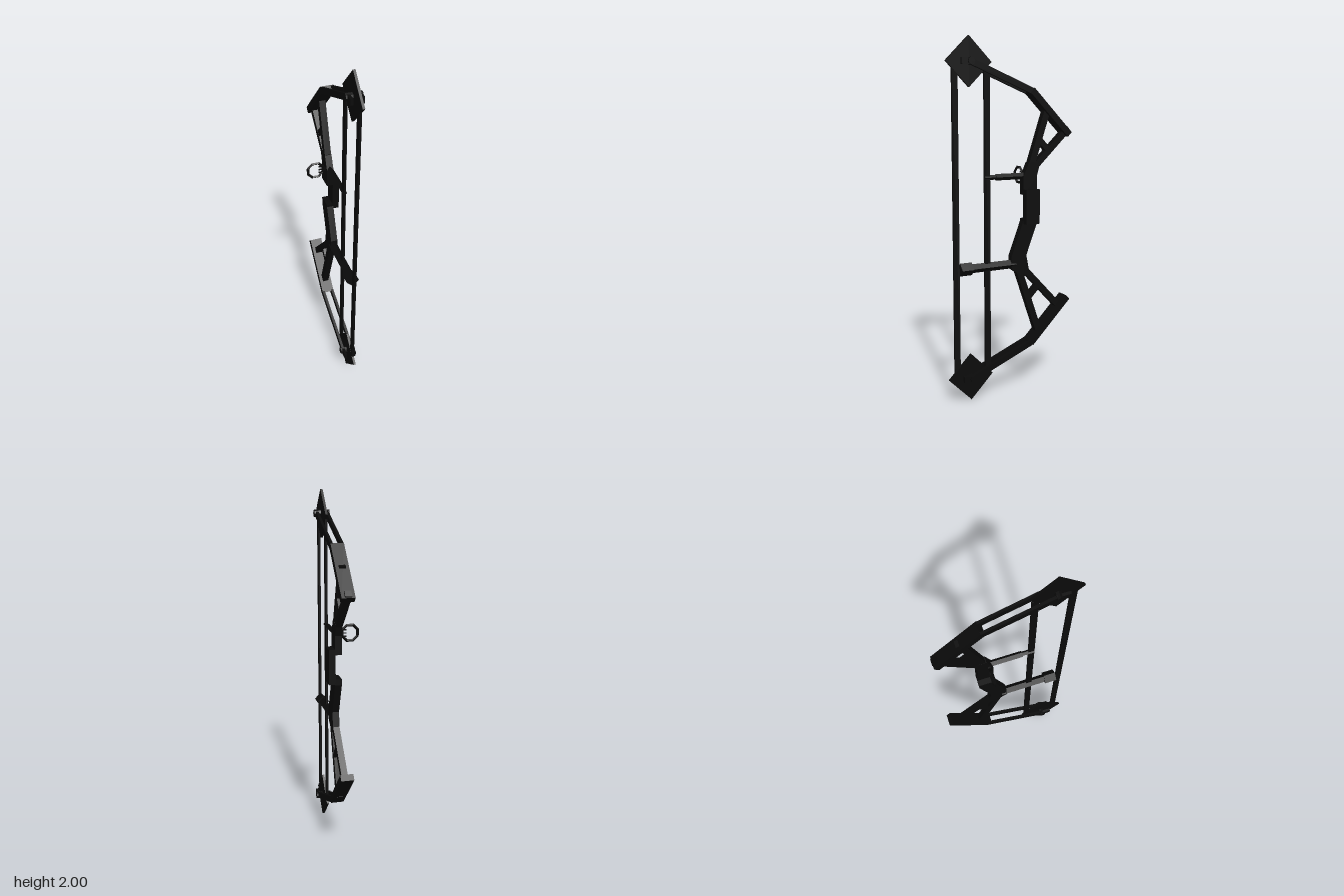
import * as THREE from 'three';

const CX = 0.041; // centre plane of the bow

export function createModel() {
  const bow = new THREE.Group();
  bow.name = 'compoundBow';
  const black = new THREE.MeshStandardMaterial({ color: 0x0b0b0b, flatShading: true });
  black.name = 'matte black';

  function add(name, geometry, x = 0, y = 0, z = 0) {
    const mesh = new THREE.Mesh(geometry, black);
    mesh.name = name;
    mesh.position.set(x, y, z);
    bow.add(mesh);
    return mesh;
  }

  // straight bar between two [z, y] points
  function beam(name, a, b, thick, width, x = CX) {
    const dz = b[0] - a[0], dy = b[1] - a[1];
    const mesh = add(name, new THREE.BoxGeometry(width, thick, Math.hypot(dz, dy)),
      x, (a[1] + b[1]) / 2, (a[0] + b[0]) / 2);
    mesh.rotation.x = -Math.atan2(dy, dz);
    return mesh;
  }

  // side profile of [z, y] points, extruded across x
  function plate(name, points, x0, x1) {
    const shape = new THREE.Shape(points.map(p => new THREE.Vector2(p[0], p[1])));
    const geometry = new THREE.ExtrudeGeometry(shape, { depth: x1 - x0, bevelEnabled: false });
    add(name, geometry, x1).rotation.y = -Math.PI / 2;
  }

  // four-sided rod along z, standing on a corner
  function rod(name, radius, z0, z1, y) {
    const geometry = new THREE.CylinderGeometry(radius, radius, z1 - z0, 4);
    geometry.rotateX(Math.PI / 2);
    add(name, geometry, CX, y, (z0 + z1) / 2);
  }

  // riser: upper part, offset grip and lower part
  plate('upperRiser', [[-0.11, 1.326], [-0.15, 1.326], [-0.178, 1.305], [-0.162, 1.25],
    [-0.162, 1.145], [-0.075, 1.145], [-0.075, 1.247]], 0.022, 0.06);
  plate('grip', [[-0.162, 1.175], [-0.162, 0.98], [-0.075, 0.98], [-0.075, 1.175]], 0.056, 0.093);
  plate('lowerRiser', [[-0.162, 1.01], [-0.162, 0.975], [-0.095, 0.80], [-0.117, 0.69],
    [-0.075, 0.674], [0, 0.727], [0, 0.80], [-0.075, 0.997], [-0.075, 1.01]], 0.022, 0.06);

  // open trusses that carry the limbs
  const trusses = {
    upper: [[[-0.115, 1.27], [-0.236, 1.635]], [[-0.135, 1.285], [-0.372, 1.512]],
      [[-0.172, 1.46], [-0.235, 1.395]]],
    lower: [[[-0.045, 0.73], [-0.186, 0.325]], [[-0.075, 0.73], [-0.328, 0.462]],
      [[-0.11, 0.545], [-0.172, 0.607]]],
  };
  for (const [side, [inner, outer, brace]] of Object.entries(trusses)) {
    beam(side + 'InnerStrut', ...inner, 0.038, 0.036);
    beam(side + 'OuterStrut', ...outer, 0.036, 0.036);
    beam(side + 'Brace', ...brace, 0.032, 0.034);
  }

  // limbs, forks, cams and axles, mirrored about mid height
  for (const [side, s] of [['upper', 1], ['lower', -1]]) {
    const at = (z, y) => [z, 1 + s * (y - 1)];
    const knee = at(-0.13, 1.715);
    beam(side + 'Limb', at(-0.122, 1.722), at(-0.368, 1.477), 0.036, 0.072);
    for (const dx of [-0.0285, 0.0285]) {
      beam(side + 'ForkProng', knee, at(0.25, 1.866), 0.034, 0.015, CX + dx);
      beam(side + 'ForkTip', at(0.235, 1.866), at(0.305, 1.866), 0.034, 0.015, CX + dx);
    }
    const cam = add(side + 'Cam', new THREE.BoxGeometry(0.013, 0.189, 0.189), CX, ...at(0.25, 1.866).reverse());
    cam.rotation.x = Math.PI / 4;
    const axle = add(side + 'Axle', new THREE.CylinderGeometry(0.02, 0.02, 0.088, 8), CX, ...at(0.25, 1.867).reverse());
    axle.rotation.z = Math.PI / 2;
  }

  // bowstring and cable
  beam('bowstring', [0.332, 0.135], [0.332, 1.865], 0.034, 0.012);
  beam('cable', [0.144, 0.16], [0.144, 1.84], 0.034, 0.012);

  // cable guard and stabilizer
  rod('cableGuard', 0.018, -0.09, 0.092, 1.25);
  rod('cableGuardTip', 0.013, 0.08, 0.16, 1.25);
  rod('stabilizerRod', 0.025, -0.03, 0.26, 0.753);
  rod('stabilizerWeight', 0.036, 0.24, 0.31, 0.753);

  // sight ring with three pins
  const ring = add('sightRing', new THREE.TorusGeometry(0.046, 0.008, 4, 8), -0.038, 1.25, -0.098);
  ring.rotation.z = Math.PI / 8;
  add('sightBracket', new THREE.BoxGeometry(0.03, 0.016, 0.014), 0.018, 1.25, -0.098);
  for (const dy of [-0.018, 0, 0.018]) {
    add('sightPin', new THREE.BoxGeometry(0.026, 0.006, 0.006), -0.006, 1.25 + dy, -0.098);
  }
  return bow;
}
